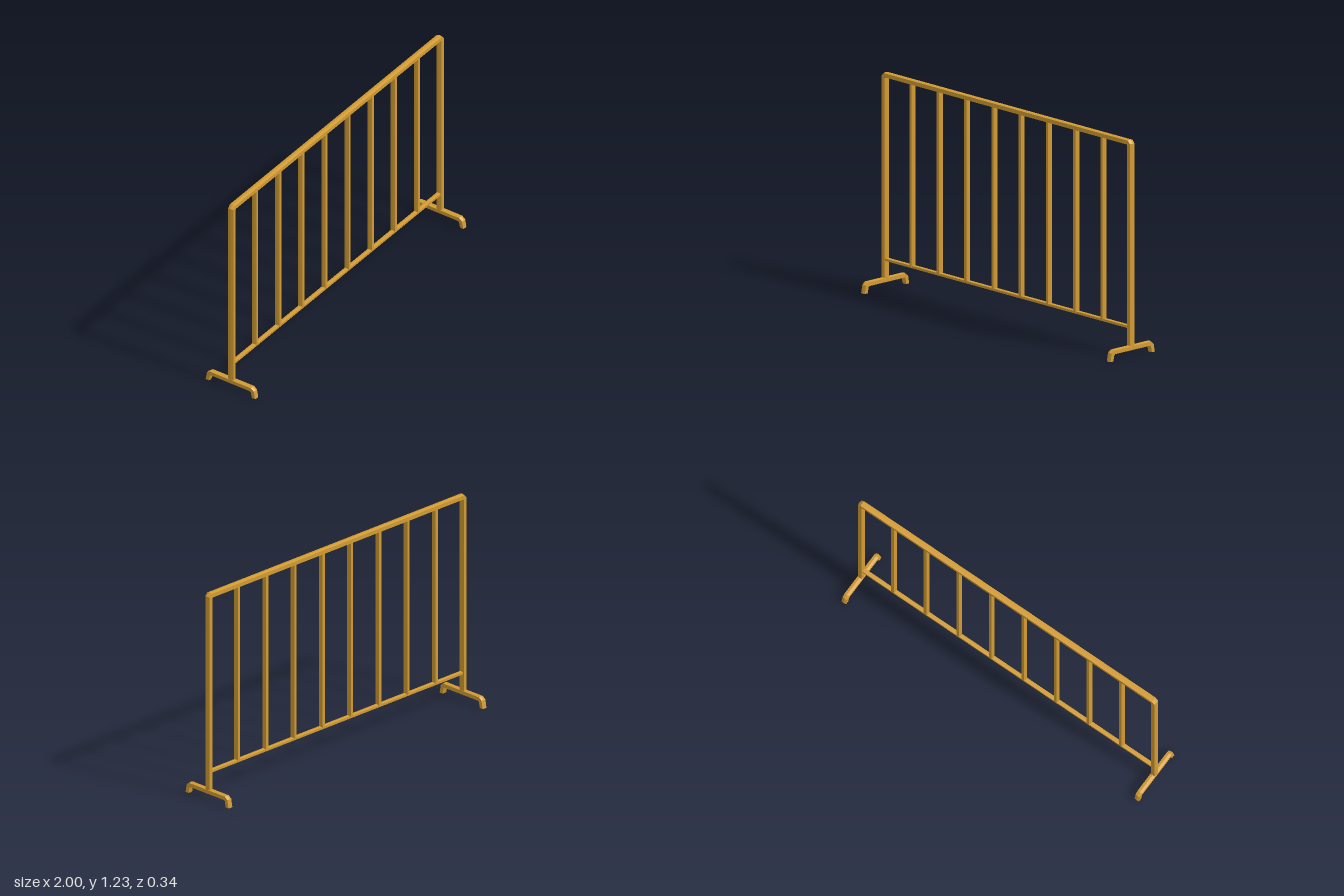
import * as THREE from 'three';

const V = (x, y, z) => new THREE.Vector3(x, y, z);

// Sweeps a six-sided bar along a path lying in the plane with normal `axis`, with mitred corners.
// h = half width in the plane, d = half depth along the axis.
function sweepBar(path, axis, h, d) {
  const f = h * 0.76;
  const section = [[h, 0], [f, d], [-f, d], [-h, 0], [-f, -d], [f, -d]];
  const n = section.length;
  const side = (a, b) => V().crossVectors(axis, V().subVectors(b, a).normalize());
  const pos = [], idx = [];
  path.forEach((p, i) => {
    const before = side(path[Math.max(i - 1, 0)], path[Math.max(i, 1)]);
    const last = path.length - 1;
    const after = side(path[Math.min(i, last - 1)], path[Math.min(i + 1, last)]);
    const mitre = before.clone().add(after).normalize();
    mitre.divideScalar(mitre.dot(before));
    for (const [u, v] of section) {
      const q = p.clone().addScaledVector(mitre, u).addScaledVector(axis, v);
      pos.push(q.x, q.y, q.z);
    }
  });
  for (let i = 0; i < path.length - 1; i++) {
    for (let j = 0; j < n; j++) {
      const a = i * n + j, b = i * n + (j + 1) % n;
      idx.push(a, b, b + n, a, b + n, a + n);
    }
  }
  // End caps
  const e = (path.length - 1) * n;
  for (let j = 1; j < n - 1; j++) idx.push(0, j + 1, j, e, e + j, e + j + 1);
  const indexed = new THREE.BufferGeometry();
  indexed.setAttribute('position', new THREE.Float32BufferAttribute(pos, 3));
  indexed.setIndex(idx);
  const g = indexed.toNonIndexed();
  g.computeVertexNormals();
  return g;
}

export function createModel() {
  const group = new THREE.Group();
  const gold = new THREE.MeshStandardMaterial({ color: 0xd49c32 });
  gold.name = 'golden paint';
  const add = (name, geometry) => {
    const mesh = new THREE.Mesh(geometry, gold);
    mesh.name = name;
    group.add(mesh);
    return mesh;
  };
  const X = V(1, 0, 0), Z = V(0, 0, 1);
  const postX = 0.985, railY = 0.166;

  // Posts and top rail as one bent tube with clipped corners
  add('outerFrame', sweepBar([
    V(-postX, 0.045, 0), V(-postX, 1.2, 0), V(-0.975, 1.21, 0),
    V(0.975, 1.21, 0), V(postX, 1.2, 0), V(postX, 0.045, 0),
  ], Z, 0.015, 0.017));

  // Bottom rail
  add('bottomRail', sweepBar([V(-postX, railY, 0), V(postX, railY, 0)], Z, 0.009, 0.012));

  // Eight evenly spaced uprights
  for (let i = 1; i <= 8; i++) {
    const x = -postX + (i * 2 * postX) / 9;
    add('upright' + i, sweepBar([V(x, railY, 0), V(x, 1.205, 0)], Z, 0.012, 0.0145));
  }

  // Bent feet, cut flat at the ground
  for (const s of [-1, 1]) {
    const x = s * postX;
    const foot = sweepBar([
      V(x, 0, 0.155), V(x, 0.04, 0.147), V(x, 0.05, 0.134),
      V(x, 0.05, -0.134), V(x, 0.04, -0.147), V(x, 0, -0.155),
    ], X, 0.0145, 0.015);
    const p = foot.attributes.position;
    for (let i = 0; i < p.count; i++) if (p.getY(i) < 0.006) p.setY(i, 0);
    foot.computeVertexNormals();
    add(s < 0 ? 'rightFoot' : 'leftFoot', foot);
  }
  return group;
}
